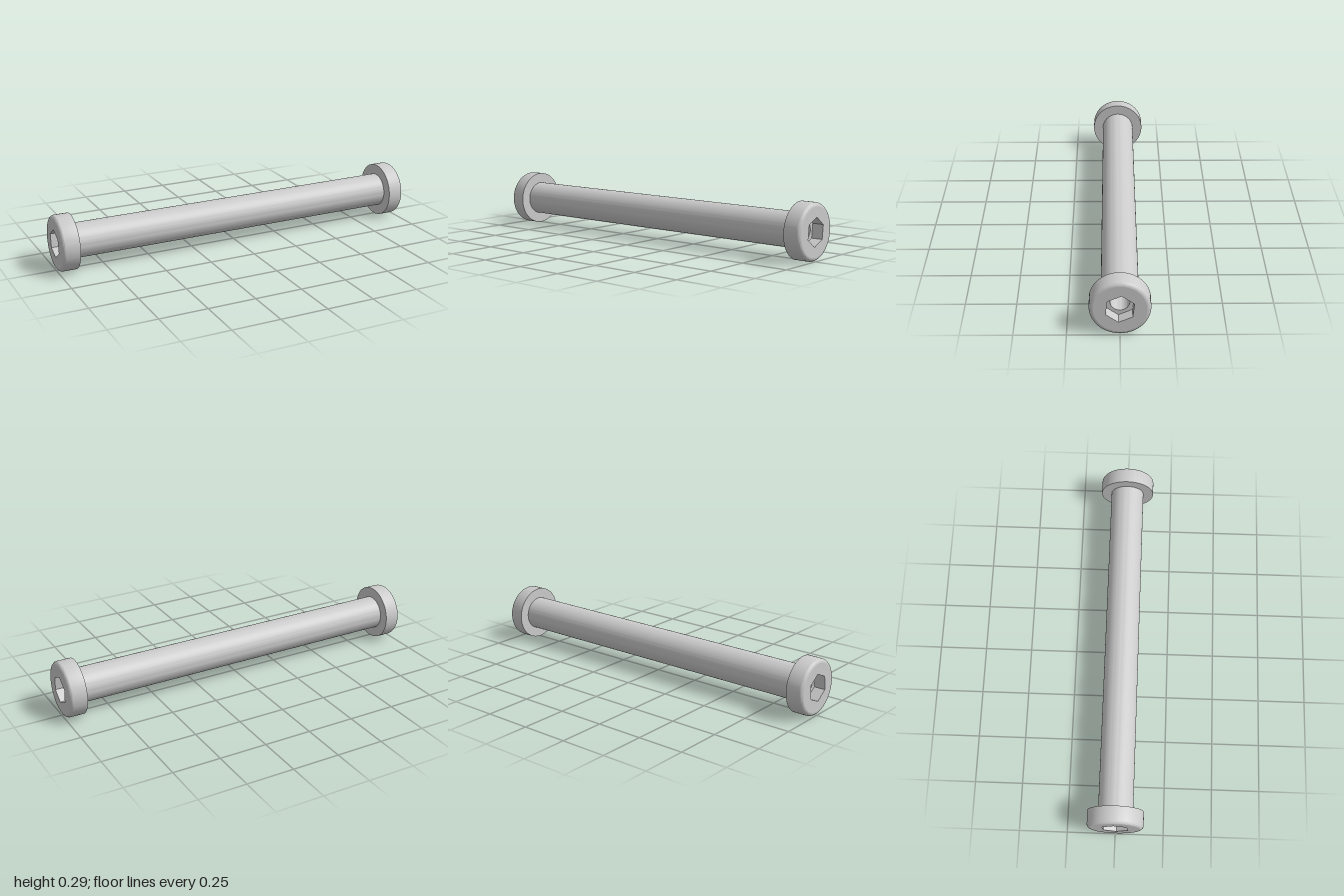
import * as THREE from 'three';
import { toCreasedNormals } from 'three/addons/utils/BufferGeometryUtils.js';

const HALF = 1, SHOULDER = 0.91, FLOOR = 0.94;
const HEAD_R = 0.145, SHAFT_R = 0.09, BORE_R = 0.046, HEX_R = 0.073, FILLET = 0.02;
const TILT = THREE.MathUtils.degToRad(6);
const SEGMENTS = 72;

const material = new THREE.MeshStandardMaterial({ color: 0xcccccc });
const wallMaterial = new THREE.MeshStandardMaterial({
  color: 0xcccccc, flatShading: true, side: THREE.DoubleSide,
});

function named(name, geometry, mat = material) {
  const mesh = new THREE.Mesh(geometry, mat);
  mesh.name = name;
  return mesh;
}

// Turned part: profile of [radius, position along x]
function turned(name, profile) {
  const points = profile.map(([r, x]) => new THREE.Vector2(r, x));
  const geometry = new THREE.LatheGeometry(points, SEGMENTS).rotateZ(-Math.PI / 2);
  return named(name, toCreasedNormals(geometry, Math.PI / 6));
}

// Regular polygon outline; many sides make a circle
function polygon(radius, sides, start, PathType) {
  const points = [];
  for (let i = 0; i < sides; i++) {
    const a = start + (i / sides) * Math.PI * 2;
    points.push(new THREE.Vector2(radius * Math.cos(a), radius * Math.sin(a)));
  }
  return new PathType(points);
}

// Flat plate with a hole, facing +z
function plate(outline, hole, z) {
  outline.holes.push(hole);
  return new THREE.ShapeGeometry(outline).translate(0, 0, z);
}

// Head end: face, hexagonal socket walls and socket floor
function headEnd(side) {
  const tilt = -side * TILT;
  const hexStart = Math.PI / 2 + tilt;
  const end = new THREE.Group();
  end.name = side > 0 ? 'leftHeadEnd' : 'rightHeadEnd';
  end.add(named('headFace', plate(
    polygon(HEAD_R - FILLET, SEGMENTS, 0, THREE.Shape),
    polygon(HEX_R, 6, hexStart, THREE.Path), HALF)));
  end.add(named('socketFloor', plate(
    polygon(HEX_R, 6, hexStart, THREE.Shape),
    polygon(BORE_R, SEGMENTS, 0, THREE.Path), FLOOR)));
  const walls = new THREE.CylinderGeometry(HEX_R, HEX_R, HALF - FLOOR, 6, 1, true)
    .rotateX(Math.PI / 2).rotateZ(tilt).translate(0, 0, (HALF + FLOOR) / 2);
  end.add(named('socketWalls', walls, wallMaterial));
  end.rotation.y = side * Math.PI / 2;
  return end;
}

export function createModel() {
  const model = new THREE.Group();
  model.name = 'hollowSocketBolt';

  const body = new THREE.Group();
  body.name = 'body';
  body.position.y = HEAD_R;
  model.add(body);

  // Shaft and bore
  body.add(turned('shaft', [[SHAFT_R, -SHOULDER], [SHAFT_R, SHOULDER]]));
  body.add(turned('bore', [[BORE_R, FLOOR], [BORE_R, -FLOOR]]));

  // Head rims with a rounded outer edge
  const rim = [[SHAFT_R, SHOULDER], [HEAD_R, SHOULDER]];
  for (let i = 0; i <= 6; i++) {
    const a = (i / 6) * Math.PI / 2;
    rim.push([HEAD_R - FILLET + FILLET * Math.cos(a), HALF - FILLET + FILLET * Math.sin(a)]);
  }
  body.add(turned('leftHeadRim', rim));
  body.add(turned('rightHeadRim', rim.map(([r, x]) => [r, -x]).reverse()));

  for (const side of [1, -1]) body.add(headEnd(side));
  return model;
}
